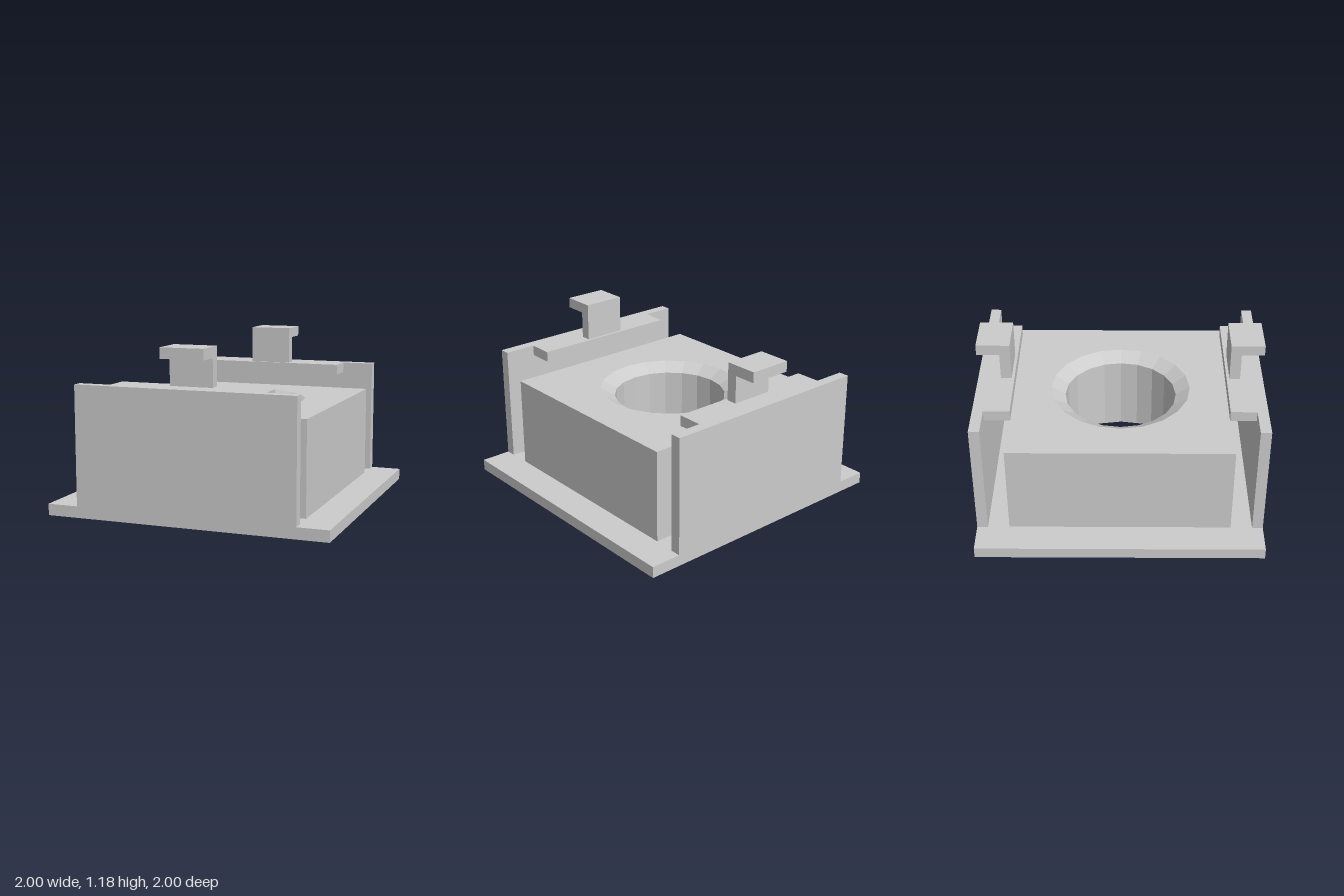
import * as THREE from 'three';

const material = new THREE.MeshStandardMaterial({ color: 0xcccccc, flatShading: true });

// Square slab standing on y = 0 with a 20-sided hole through its middle
function holedSlab(half, height, radius, steps = 1) {
  const shape = new THREE.Shape([[-1, -1], [1, -1], [1, 1], [-1, 1]]
    .map(([x, y]) => new THREE.Vector2(x * half, y * half)));
  const ring = [];
  for (let i = 0; i < 20; i++) {
    const a = -i * Math.PI / 10;
    ring.push(new THREE.Vector2(radius * Math.cos(a), radius * Math.sin(a)));
  }
  shape.holes.push(new THREE.Path(ring));
  const geometry = new THREE.ExtrudeGeometry(shape, { depth: height, steps, bevelEnabled: false });
  return geometry.rotateX(-Math.PI / 2);
}

function addMesh(parent, name, geometry) {
  const mesh = new THREE.Mesh(geometry, material);
  mesh.name = name;
  parent.add(mesh);
  return mesh;
}

// Box given by half width in x and its y and z ranges
function addBox(parent, name, halfX, y0, y1, z0, z1) {
  const mesh = addMesh(parent, name, new THREE.BoxGeometry(halfX * 2, y1 - y0, z1 - z0));
  mesh.position.set(0, (y0 + y1) / 2, (z0 + z1) / 2);
}

export function createModel() {
  const model = new THREE.Group();
  model.name = 'clipHousing';

  // Base plate with a wide recess opening
  addMesh(model, 'basePlate', holedSlab(1, 0.08, 0.57));

  // Central block: the bore narrows between a chamfer at each end
  const height = 0.655, chamfer = 0.06, mouth = 0.5, bore = 0.4;
  const block = holedSlab(0.775, height, mouth, 3);
  const p = block.attributes.position;
  const levels = [0, chamfer, height - chamfer, height];
  for (let i = 0; i < p.count; i++) {
    const level = Math.round(p.getY(i) / height * 3);
    const inBore = Math.hypot(p.getX(i), p.getZ(i)) < 0.6;
    const k = inBore && (level === 1 || level === 2) ? bore / mouth : 1;
    p.setXYZ(i, p.getX(i) * k, levels[level], p.getZ(i) * k);
  }
  block.computeVertexNormals();
  addMesh(model, 'boredBlock', block).position.y = 0.08;

  // Front and back walls, each with an inward ledge and an outward hook
  for (const side of ['front', 'back']) {
    const wall = new THREE.Group();
    wall.name = side + 'Wall';
    addBox(wall, side + 'Panel', 0.78, 0.08, 0.915, 0.925, 1);
    addBox(wall, side + 'Ledge', 0.55, 0.84, 0.915, 0.745, 0.925);
    addBox(wall, side + 'HookStem', 0.153, 0.915, 1.11, 0.765, 0.84);
    addBox(wall, side + 'HookTip', 0.153, 1.11, 1.185, 0.765, 1);
    if (side === 'back') wall.rotation.y = Math.PI;
    model.add(wall);
  }
  return model;
}
